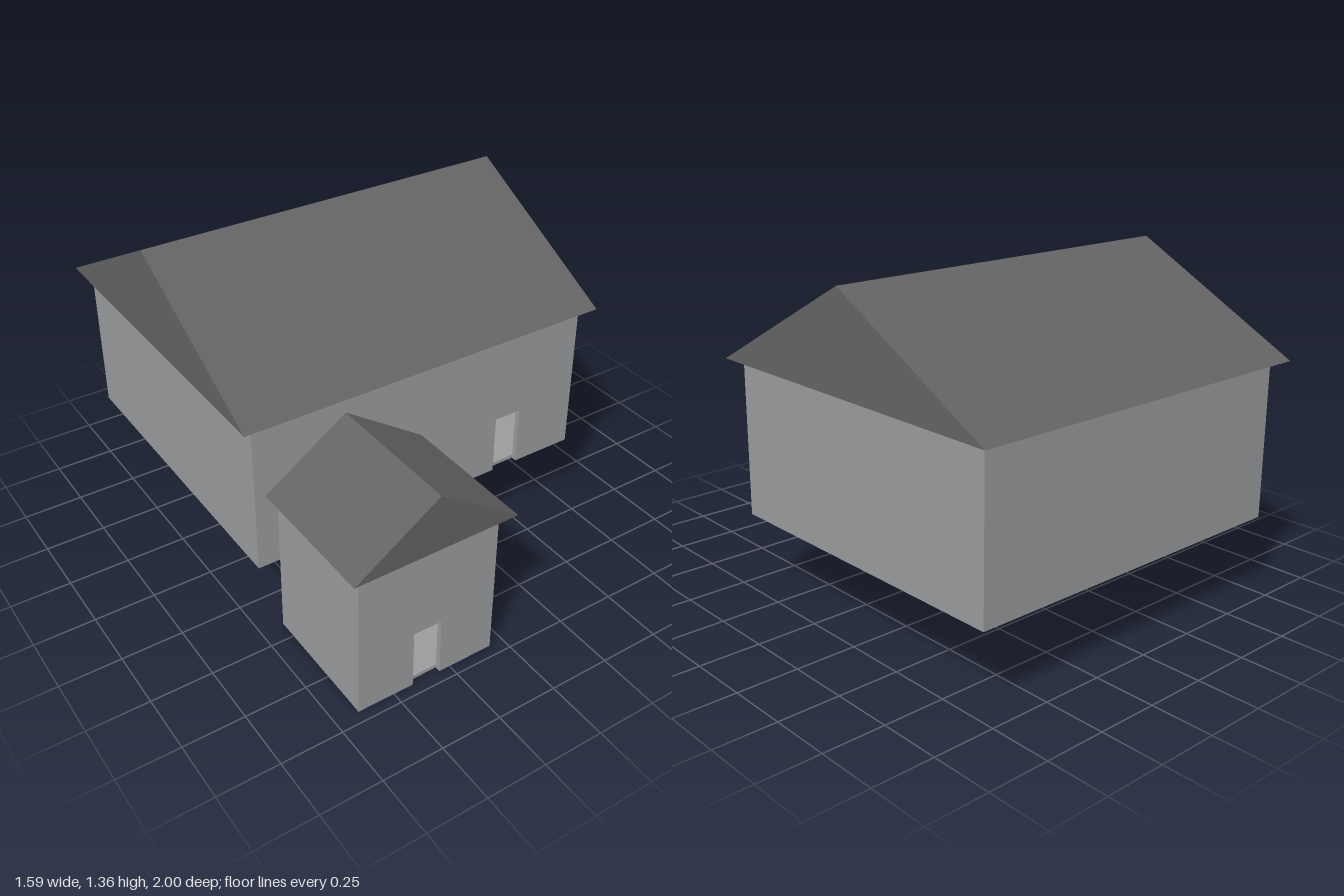
import * as THREE from 'three';

const WALL = 0.022, FLOOR = 0.015, DOOR_W = 0.12, DOOR_H = 0.25;

export function createModel() {
  const model = new THREE.Group();
  const wallMat = new THREE.MeshStandardMaterial({ color: 0x9a9b9c });
  wallMat.name = 'wall grey';
  const roofMat = new THREE.MeshStandardMaterial({ color: 0x636364 });
  roofMat.name = 'roof dark grey';

  const add = (parent, name, geometry, material, x, y, z) => {
    const mesh = new THREE.Mesh(geometry, material);
    mesh.name = name;
    mesh.position.set(x, y, z);
    parent.add(mesh);
    return mesh;
  };
  const outline = (points) => new THREE.Shape(points.map(([x, y]) => new THREE.Vector2(x, y)));
  const extrude = (points, depth) =>
    new THREE.ExtrudeGeometry(outline(points), { depth, bevelEnabled: false });

  // Hollow room with an open doorway; w, h, d are its outer sizes
  function room(name, w, h, d, doorX) {
    const g = new THREE.Group();
    g.name = name;
    const a = doorX - DOOR_W / 2, b = doorX + DOOR_W / 2;
    const front = [[-w / 2, 0], [a, 0], [a, DOOR_H], [b, DOOR_H], [b, 0], [w / 2, 0], [w / 2, h], [-w / 2, h]];
    add(g, 'frontWall', extrude(front, WALL), wallMat, 0, 0, d / 2 - WALL);
    add(g, 'backWall', new THREE.BoxGeometry(w, h, WALL), wallMat, 0, h / 2, -d / 2 + WALL / 2);
    for (const [side, s] of [['left', 1], ['right', -1]]) {
      add(g, side + 'Wall', new THREE.BoxGeometry(WALL, h, d - 2 * WALL), wallMat, s * (w - WALL) / 2, h / 2, 0);
    }
    add(g, 'floor', new THREE.BoxGeometry(w - 2 * WALL, FLOOR, d - 2 * WALL), wallMat, 0, FLOOR / 2, 0);
    return g;
  }

  // Gable prism with its ridge along z, centred on its length
  function gable(span, rise, length) {
    const g = extrude([[-span / 2, 0], [span / 2, 0], [0, rise]], length);
    return g.translate(0, 0, -length / 2);
  }

  // Large raised house, ridge running along x
  const house = room('mainHouse', 1.486, 0.642, 1.365, 0.413);
  house.position.set(0, 0.324, -0.263);
  add(house, 'mainRoof', gable(1.468, 0.392, 1.586), roofMat, 0, 0.642, -0.003).rotation.y = Math.PI / 2;
  model.add(house);

  // Small front house, ridge running along z
  const annex = room('frontHouse', 0.592, 0.643, 0.532, 0);
  annex.position.set(-0.357, 0, 0.687);
  add(annex, 'frontRoof', gable(0.684, 0.232, 0.626), roofMat, 0, 0.643, 0);
  model.add(annex);

  return model;
}
